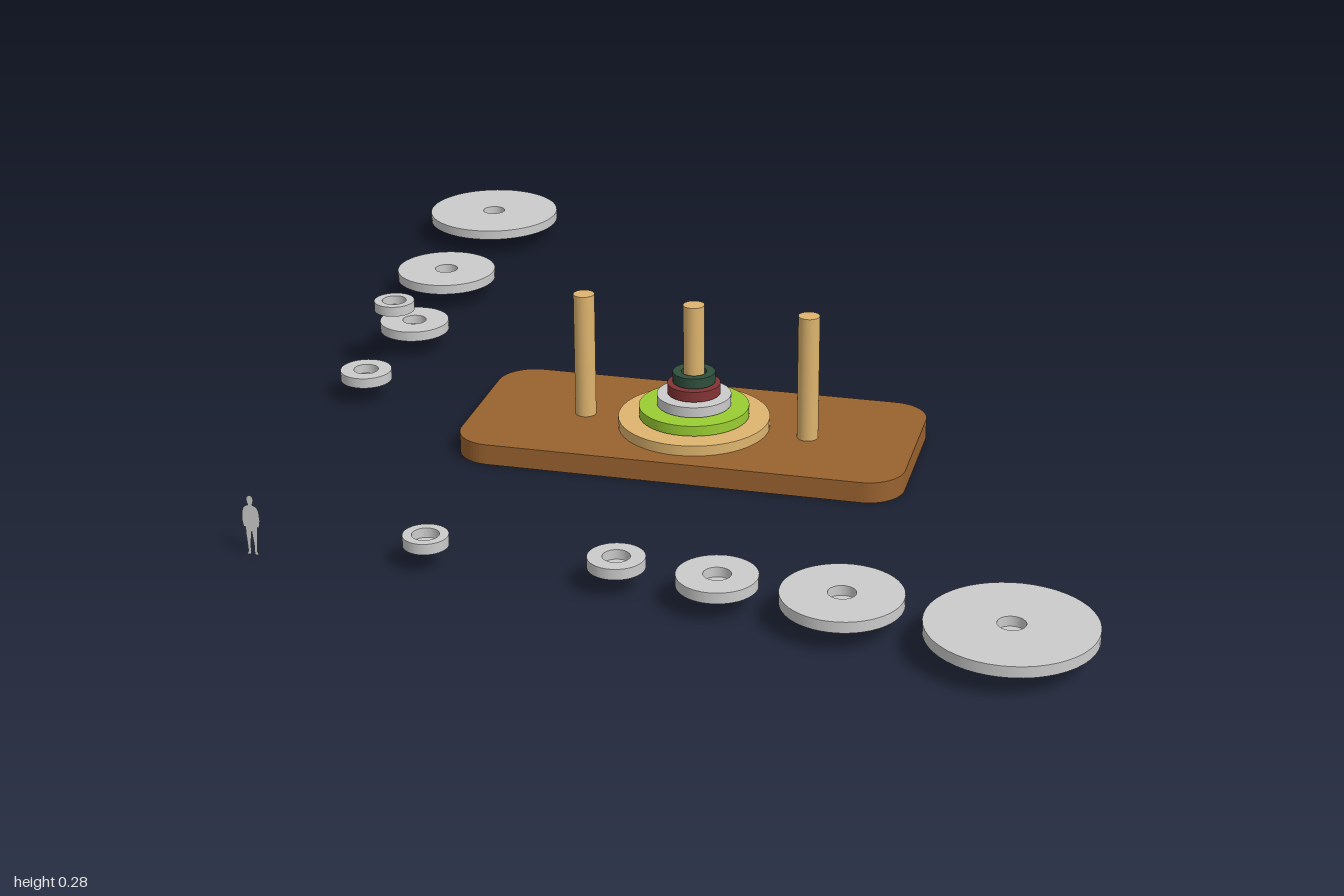
import * as THREE from 'three';

const GREY = 0xcccccc, WOOD = 0xdeb46e;
const T = 0.02; // ring thickness
const HOLE = 0.024;
const BASE_TOP = 0.04;

const mat = (color, side = THREE.FrontSide) => new THREE.MeshStandardMaterial({ color, side });

function add(parent, name, geometry, material, x, y, z) {
  const mesh = new THREE.Mesh(geometry, material);
  mesh.name = name;
  mesh.position.set(x, y, z);
  parent.add(mesh);
  return mesh;
}

// Flat ring with a socket open at the top; corners are doubled to stay sharp
function ringGeometry(r) {
  const floor = 0.002;
  const corners = [[0, 0], [r, 0], [r, T], [HOLE, T], [HOLE, floor], [0, floor]];
  const pts = corners.flatMap(([x, y], i) => {
    const p = new THREE.Vector2(x, y);
    return i === 0 || i === corners.length - 1 ? [p] : [p, p.clone()];
  });
  const g = new THREE.LatheGeometry(pts, 48).toNonIndexed();
  // Per-band normals: flat faces up or down, walls radial
  const pos = g.attributes.position, nor = g.attributes.normal;
  const a = new THREE.Vector3(), b = new THREE.Vector3(), c = new THREE.Vector3();
  for (let i = 0; i < pos.count; i += 3) {
    a.fromBufferAttribute(pos, i);
    b.fromBufferAttribute(pos, i + 1).sub(a);
    c.fromBufferAttribute(pos, i + 2).sub(a);
    const n = b.cross(c).normalize();
    for (let j = i; j < i + 3; j++) {
      if (Math.abs(n.y) > 0.5) nor.setXYZ(j, 0, Math.sign(n.y), 0);
      else {
        const x = pos.getX(j), z = pos.getZ(j), l = Math.hypot(x, z) || 1;
        const s = Math.sign(n.x * x + n.z * z);
        nor.setXYZ(j, s * x / l, 0, s * z / l);
      }
    }
  }
  return g;
}

// Rounded wooden board
function boardGeometry(w, d, r) {
  const x = w / 2, y = d / 2, s = new THREE.Shape();
  s.absarc(x - r, y - r, r, 0, Math.PI / 2);
  s.absarc(-x + r, y - r, r, Math.PI / 2, Math.PI);
  s.absarc(-x + r, -y + r, r, Math.PI, Math.PI * 1.5);
  s.absarc(x - r, -y + r, r, Math.PI * 1.5, Math.PI * 2);
  return new THREE.ExtrudeGeometry(s, { depth: BASE_TOP, bevelEnabled: false, curveSegments: 8 })
    .rotateX(-Math.PI / 2);
}

// Flat standing person outline, mirrored about its middle
function personGeometry() {
  const half = [
    [0, 0.113], [0.005, 0.111], [0.0065, 0.105], [0.005, 0.098], [0.004, 0.095],
    [0.012, 0.091], [0.015, 0.083], [0.0165, 0.066], [0.014, 0.052], [0.011, 0.053],
    [0.0105, 0.038], [0.009, 0.018], [0.0085, 0.006], [0.0115, 0], [0.003, 0],
    [0.003, 0.02], [0, 0.045],
  ];
  const mirrored = half.slice(1, -1).reverse().map(([x, y]) => [-x, y]);
  return new THREE.ShapeGeometry(
    new THREE.Shape([...half, ...mirrored].map(([x, y]) => new THREE.Vector2(x, y))));
}

export function createModel() {
  const model = new THREE.Group();
  model.name = 'ringTowerPuzzle';
  const radii = [0.143, 0.104, 0.07, 0.05, 0.04];
  const rings = radii.map(ringGeometry);
  const grey = mat(GREY), wood = mat(WOOD);

  add(model, 'base', boardGeometry(0.846, 0.374, 0.07), mat(0x99622f), 0.013, 0, 0.163);

  // Three pegs
  const pegHeight = 0.243;
  const peg = new THREE.CylinderGeometry(0.02, 0.02, pegHeight, 32);
  [['rightPeg', -0.2, 0.163], ['middlePeg', 0.014, 0.17], ['leftPeg', 0.233, 0.175]]
    .forEach(([name, x, z]) => add(model, name, peg, wood, x, BASE_TOP + pegHeight / 2, z));

  // Stacked rings on the middle peg
  const tower = new THREE.Group();
  tower.name = 'stackedRings';
  model.add(tower);
  [WOOD, 0x9acd32, GREY, 0x843434, 0x2f4f3c].forEach((color, i) =>
    add(tower, `stackedRing${i + 1}`, rings[i], mat(color), 0.014, BASE_TOP + i * 0.0225, 0.17));

  // Loose rings, large to small: [x, y, z]
  const rows = {
    rightRow: [[-0.708, 0.04, -0.857], [-0.692, 0.04, -0.47], [-0.66, 0.04, -0.17],
      [-0.665, 0.04, 0.102], [-0.66, 0.125, -0.058]],
    frontRow: [[0.705, 0.04, 0.857], [0.421, 0.04, 0.815], [0.207, 0.04, 0.798],
      [0.027, 0.04, 0.774], [-0.312, 0.04, 0.77]],
  };
  for (const [name, spots] of Object.entries(rows)) {
    const row = new THREE.Group();
    row.name = name;
    spots.forEach((p, i) => add(row, `looseRing${i + 1}`, rings[i], grey, ...p));
    model.add(row);
  }

  add(model, 'person', personGeometry(), mat(GREY, THREE.DoubleSide), -0.618, 0, 0.8);
  return model;
}
